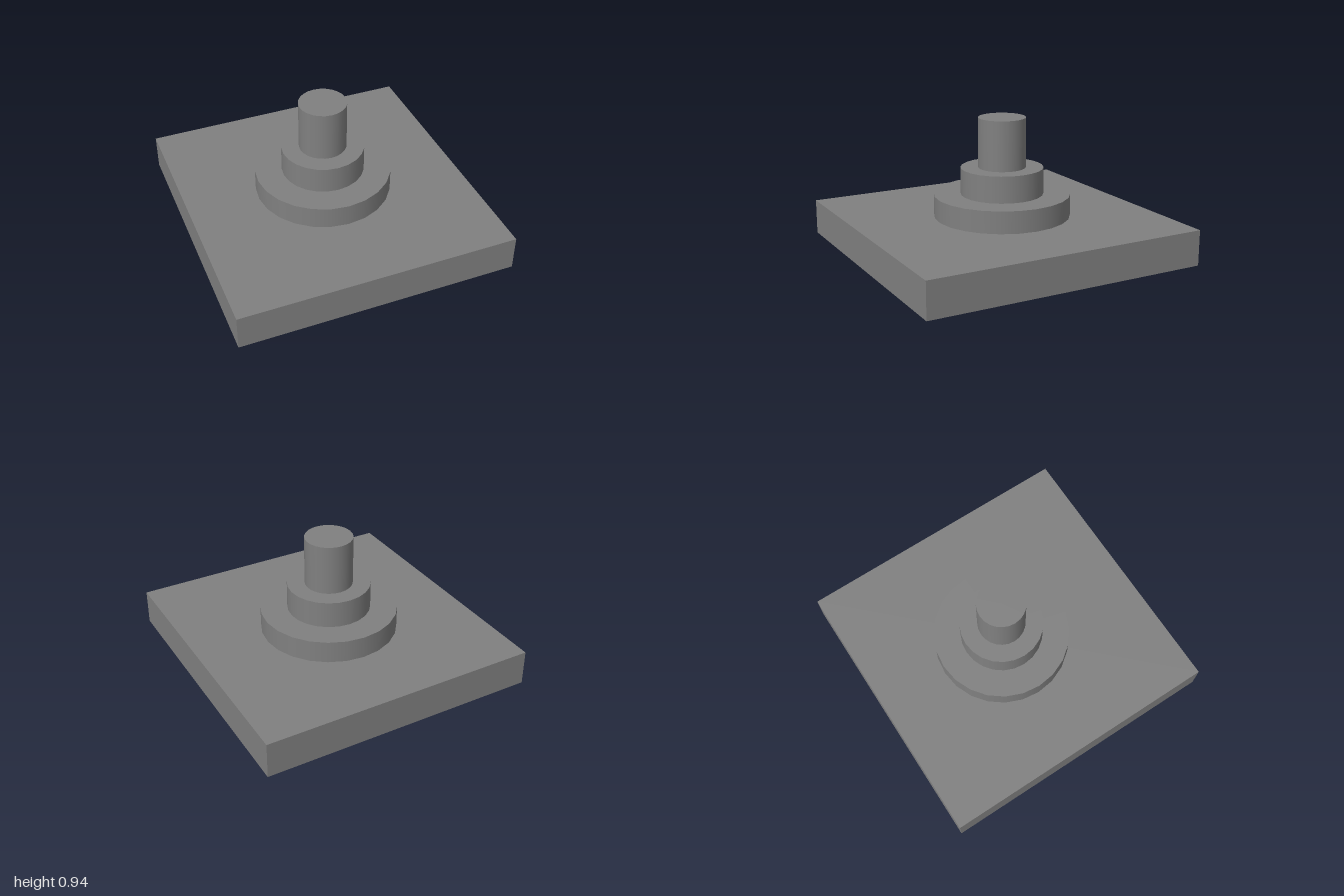
import * as THREE from 'three';

export function createModel() {
  const group = new THREE.Group();
  const material = new THREE.MeshStandardMaterial({ color: 0x808080 });
  const axisX = 0.002;
  const axisZ = -0.032; // the round tiers sit slightly behind the centre

  const add = (name, geometry, x, y, z) => {
    const mesh = new THREE.Mesh(geometry, material);
    mesh.name = name;
    mesh.position.set(x, y, z);
    group.add(mesh);
  };

  // base slab
  const slabHeight = 0.248;
  add('baseSlab', new THREE.BoxGeometry(1.945, slabHeight, 2), 0, slabHeight / 2, 0);

  // stacked round tiers: name, radius, top height
  let bottom = slabHeight;
  for (const [name, radius, top] of [
    ['lowerDisc', 0.477, 0.403],
    ['middleDisc', 0.289, 0.59],
    ['post', 0.166, 0.94],
  ]) {
    const height = top - bottom;
    const geometry = new THREE.CylinderGeometry(radius, radius, height, 24);
    add(name, geometry, axisX, bottom + height / 2, axisZ);
    bottom = top;
  }

  return group;
}
